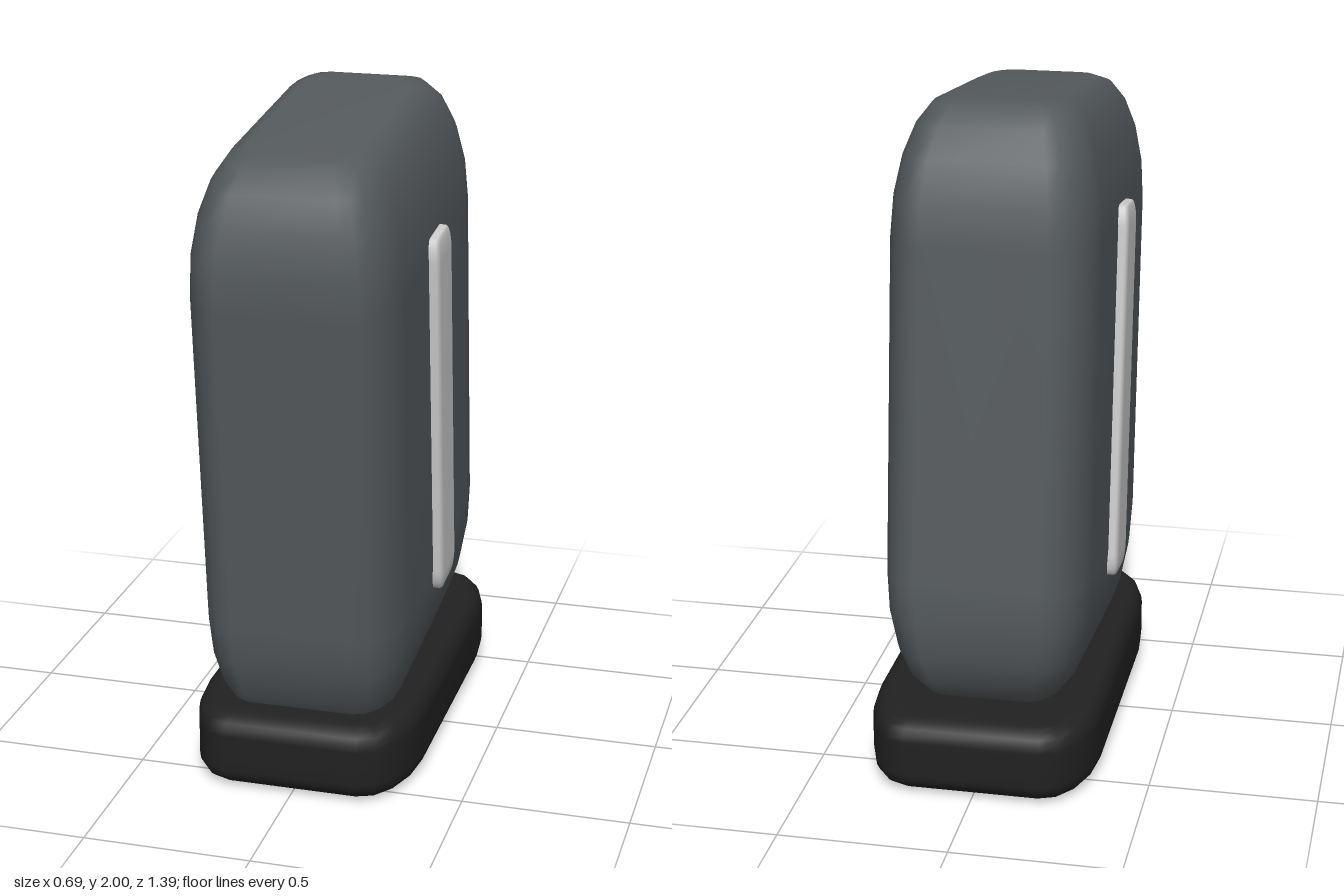
import * as THREE from 'three';

const CORNER_STEPS = 4;
const EDGE_STEPS = 5;

// Soft block: stacked rounded-rectangle rings, with elliptical plan corners
// and rounded top and bottom edges. half = half sizes, corner = [x, z], edge = [x, y, z].
function softBlock(half, corner, edge) {
  const [hx, hy, hz] = half;
  const positions = [], indices = [];
  const count = 4 * (CORNER_STEPS + 1);

  const addRing = (y, inset) => {
    const ax = hx - edge[0] * inset, az = hz - edge[2] * inset;
    const rx = corner[0] * ax / hx, rz = corner[1] * az / hz;
    for (let q = 0; q < 4; q++) {
      const sx = q === 0 || q === 3 ? 1 : -1, sz = q < 2 ? 1 : -1;
      for (let i = 0; i <= CORNER_STEPS; i++) {
        const a = (q + i / CORNER_STEPS) * Math.PI / 2;
        positions.push(sx * (ax - rx) + rx * Math.cos(a), y, sz * (az - rz) + rz * Math.sin(a));
      }
    }
  };

  let rings = 0;
  for (const side of [-1, 1]) {
    for (let i = 0; i <= EDGE_STEPS; i++) {
      const k = side < 0 ? EDGE_STEPS - i : i;
      const t = k / EDGE_STEPS * Math.PI / 2;
      addRing(side * (hy - edge[1] + edge[1] * Math.sin(t)), 1 - Math.cos(t));
      rings++;
    }
  }
  for (let r = 0; r < rings - 1; r++) {
    for (let i = 0; i < count; i++) {
      const a = r * count + i, b = r * count + (i + 1) % count;
      indices.push(a, a + count, b, b, a + count, b + count);
    }
  }

  // Flat caps
  const bottom = positions.length / 3, top = bottom + 1, last = (rings - 1) * count;
  positions.push(0, -hy, 0, 0, hy, 0);
  for (let i = 0; i < count; i++) {
    const j = (i + 1) % count;
    indices.push(bottom, i, j, top, last + j, last + i);
  }

  const geometry = new THREE.BufferGeometry();
  geometry.setAttribute('position', new THREE.Float32BufferAttribute(positions, 3));
  geometry.setIndex(indices);
  geometry.computeVertexNormals();
  return geometry;
}

function material(name, color) {
  const m = new THREE.MeshStandardMaterial({ color });
  m.name = name;
  return m;
}

export function createModel() {
  const model = new THREE.Group();
  model.name = 'slantedCase';
  const grey = material('slate grey', 0x555a5d);
  const black = material('soft black', 0x212121);
  const silver = material('light silver', 0xcccccc);

  const add = (parent, name, geometry, mat, x, y, z) => {
    const mesh = new THREE.Mesh(geometry, mat);
    mesh.name = name;
    mesh.position.set(x, y, z);
    parent.add(mesh);
  };

  // Flat foot
  add(model, 'basePad', softBlock([0.345, 0.118, 0.655], [0.14, 0.28], [0.045, 0.065, 0.08]),
    black, 0, 0.122, -0.045);

  // Body leaning forward
  const upper = new THREE.Group();
  upper.name = 'leaningBody';
  upper.position.set(0, 1.07, 0.04);
  upper.rotation.x = THREE.MathUtils.degToRad(6);
  model.add(upper);
  add(upper, 'body', softBlock([0.305, 0.9, 0.602], [0.12, 0.22], [0.14, 0.4, 0.22]), grey, 0, 0, 0);

  // Raised strip on each side
  const strip = softBlock([0.03, 0.575, 0.09], [0.012, 0.025], [0.012, 0.07, 0.03]);
  for (const side of [-1, 1]) {
    add(upper, side > 0 ? 'leftStrip' : 'rightStrip', strip, silver, side * 0.305, -0.015, 0);
  }
  return model;
}
